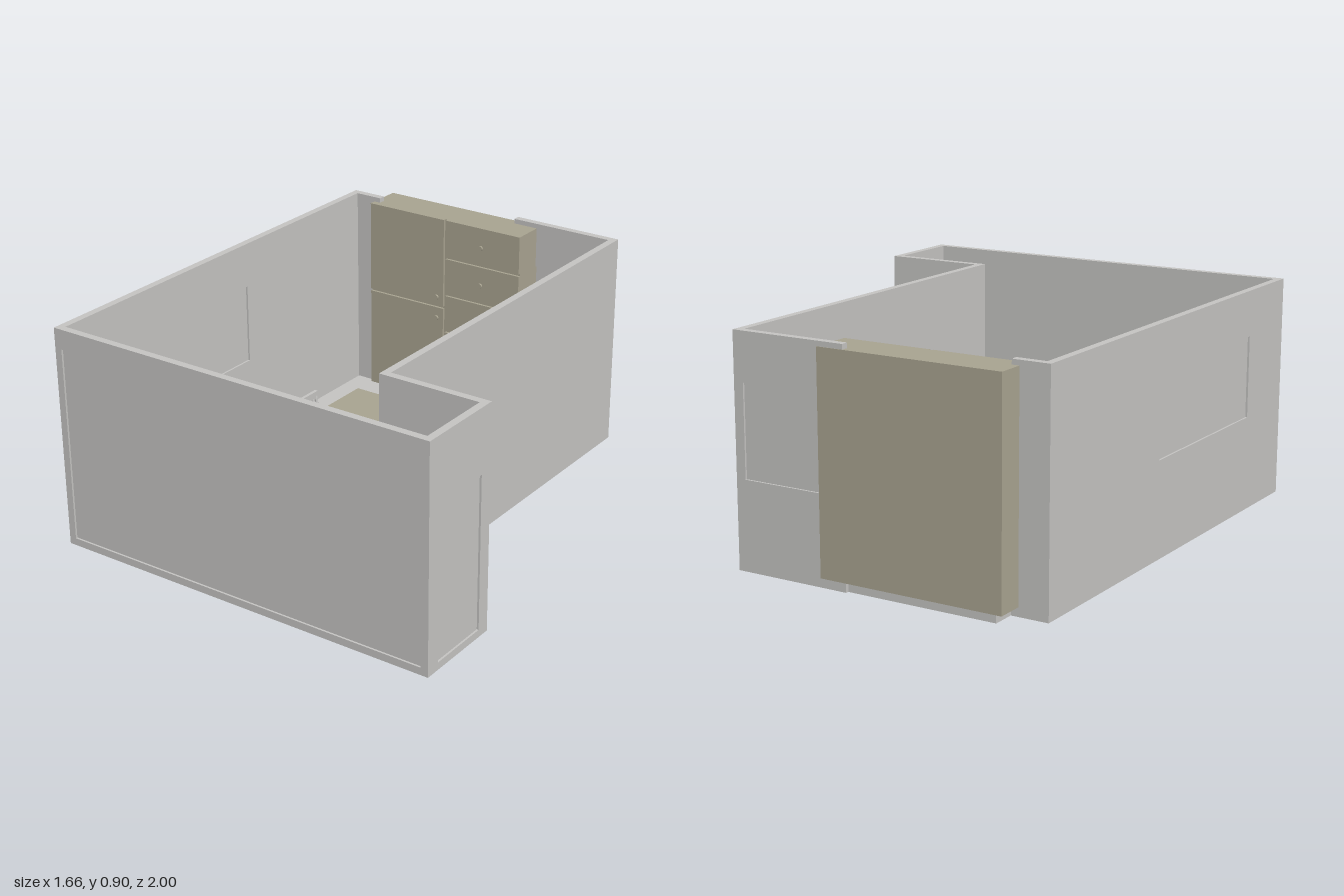
import * as THREE from 'three';

const wallGrey = new THREE.MeshStandardMaterial({ color: 0xc4c3c1 });
wallGrey.name = 'wall grey';
const woodBeige = new THREE.MeshStandardMaterial({ color: 0xa8a390 });
woodBeige.name = 'wood beige';

const T = 0.03; // wall and floor thickness
const H = 0.9;  // wall height

// Box given by its min and max corners
function box(parent, name, mat, [x0, y0, z0], [x1, y1, z1]) {
  const m = new THREE.Mesh(new THREE.BoxGeometry(x1 - x0, y1 - y0, z1 - z0), mat);
  m.position.set((x0 + x1) / 2, (y0 + y1) / 2, (z0 + z1) / 2);
  m.name = name;
  parent.add(m);
  return m;
}

// Straight rod between two points
function rod(parent, name, mat, a, b, r) {
  const p = new THREE.Vector3(...a), q = new THREE.Vector3(...b);
  const m = new THREE.Mesh(new THREE.CylinderGeometry(r, r, p.distanceTo(q), 10), mat);
  m.position.copy(p).lerp(q, 0.5);
  m.quaternion.setFromUnitVectors(new THREE.Vector3(0, 1, 0), q.sub(p).normalize());
  m.name = name;
  parent.add(m);
}

// Upright wall from u0 to u1, with an optional opening filled by a recessed pane
function wall(parent, name, u0, u1, opening) {
  const g = new THREE.Group();
  g.name = name;
  const s = new THREE.Shape();
  s.moveTo(u0, 0).lineTo(u1, 0).lineTo(u1, H).lineTo(u0, H).closePath();
  if (opening) {
    const [a, b, c, d] = opening;
    const hole = new THREE.Path();
    hole.moveTo(a, c).lineTo(a, d).lineTo(b, d).lineTo(b, c).closePath();
    s.holes.push(hole);
    box(g, name + 'Pane', wallGrey, [a, c, 0.008], [b, d, T - 0.008]);
  }
  const m = new THREE.Mesh(new THREE.ExtrudeGeometry(s, { depth: T, bevelEnabled: false }), wallGrey);
  m.name = name + 'Frame';
  g.add(m);
  parent.add(g);
  return g;
}

function wallAlongX(parent, name, zMin, x0, x1, opening) {
  wall(parent, name, x0, x1, opening).position.z = zMin;
}

function wallAlongZ(parent, name, xMax, z0, z1, opening) {
  const g = wall(parent, name, z0, z1, opening);
  g.rotation.y = -Math.PI / 2;
  g.position.x = xMax;
}

function makeRoom() {
  const room = new THREE.Group();
  room.name = 'room';
  // Floor slab following the wall outline
  const outline = [[-0.83, 1], [0.83, 1], [0.83, 0.625], [0.415, 0.625], [0.415, -0.998],
    [-0.065, -0.998], [-0.065, -0.985], [-0.68, -0.985], [-0.68, -0.89], [-0.83, -0.89]];
  const s = new THREE.Shape(outline.map(([x, z]) => new THREE.Vector2(x, -z)));
  const floor = new THREE.Mesh(new THREE.ExtrudeGeometry(s, { depth: T, bevelEnabled: false }), wallGrey);
  floor.rotation.x = -Math.PI / 2;
  floor.name = 'floor';
  room.add(floor);

  wallAlongX(room, 'frontWall', 1 - T, -0.83, 0.83, [-0.8, 0.8, 0.03, 0.82]);
  wallAlongZ(room, 'entryWall', 0.83, 0.625, 1 - T, [0.68, 0.94, 0.03, 0.645]);
  wallAlongX(room, 'entryReturnWall', 0.625, 0.385, 0.83 - T);
  wallAlongZ(room, 'rightWall', 0.415, -0.998 + T, 0.625);
  wallAlongX(room, 'backWall', -0.998, -0.065, 0.415, [0, 0.375, 0.35, 0.71]);
  wallAlongX(room, 'backStubWall', -0.89, -0.83, -0.68);
  wallAlongZ(room, 'leftWall', -0.83 + T, -0.86, 1 - T, [-0.085, 0.685, 0.385, 0.715]);
  return room;
}

// Tall cabinet: doors on one side, drawers on the other
function makeCabinet() {
  const g = new THREE.Group();
  g.name = 'cabinet';
  const zf = -0.832, zb = -0.843, gap = 0.005;
  box(g, 'cabinetBody', woodBeige, [-0.71, 0.035, -1], [0.045, 0.88, zb]);
  const front = (name, x0, x1, y0, y1, kx, ky) => {
    box(g, name, woodBeige, [x0, y0, zb], [x1, y1, zf]);
    rod(g, name + 'KnobStem', woodBeige, [kx, ky, zf], [kx, ky, zf + 0.008], 0.005);
    rod(g, name + 'Knob', woodBeige, [kx, ky, zf + 0.006], [kx, ky, zf + 0.014], 0.011);
  };
  const split = -0.325;
  front('lowerDoor', -0.71, split - gap, 0.035, 0.48 - gap, -0.36, 0.43);
  front('upperDoor', -0.71, split - gap, 0.48 + gap, 0.88, -0.36, 0.526);
  const n = 5, h = (0.88 - 0.035) / n;
  for (let i = 0; i < n; i++) {
    const y0 = 0.035 + i * h;
    front('drawer', split + gap, 0.045, y0 + (i ? gap : 0), y0 + h - (i < n - 1 ? gap : 0), -0.14, y0 + h / 2);
  }
  return g;
}

function makeTable() {
  const g = new THREE.Group();
  g.name = 'table';
  const [x0, x1, z0, z1] = [-0.375, 0.39, -0.265, 0.24];
  box(g, 'tableTop', woodBeige, [x0, 0.28, z0], [x1, 0.3, z1]);
  for (const x of [x0 + 0.02, x1 - 0.05])
    for (const z of [z0 + 0.02, z1 - 0.05])
      box(g, 'tableLeg', woodBeige, [x, T, z], [x + 0.03, 0.28, z + 0.03]);
  return g;
}

// Spindle-back chair facing +z; origin at the rear edge of its back
function makeChair(x, z, turn) {
  const g = new THREE.Group();
  g.name = 'chair';
  // Seat slightly wider at the front
  const s = new THREE.Shape();
  s.moveTo(-0.064, -0.03).lineTo(0.064, -0.03).lineTo(0.073, -0.147)
    .quadraticCurveTo(0.073, -0.157, 0.063, -0.157).lineTo(-0.063, -0.157)
    .quadraticCurveTo(-0.073, -0.157, -0.073, -0.147).closePath();
  const seat = new THREE.Mesh(new THREE.ExtrudeGeometry(s, { depth: 0.015, bevelEnabled: false }), wallGrey);
  seat.rotation.x = -Math.PI / 2;
  seat.position.y = 0.175;
  seat.name = 'seat';
  g.add(seat);
  for (const sx of [-1, 1]) {
    rod(g, 'frontLeg', wallGrey, [sx * 0.064, T, 0.148], [sx * 0.06, 0.178, 0.142], 0.006);
    rod(g, 'backLeg', wallGrey, [sx * 0.06, T, 0.028], [sx * 0.058, 0.178, 0.038], 0.006);
    rod(g, 'backPost', wallGrey, [sx * 0.058, 0.178, 0.036], [sx * 0.066, 0.33, 0.01], 0.006);
    rod(g, 'sideStretcher', wallGrey, [sx * 0.061, 0.09, 0.032], [sx * 0.062, 0.09, 0.146], 0.004);
  }
  for (let i = -2; i <= 2; i++)
    rod(g, 'spindle', wallGrey, [i * 0.02, 0.185, 0.036], [i * 0.022, 0.325, 0.011], 0.0035);
  box(g, 'topRail', wallGrey, [-0.073, 0.318, 0], [0.073, 0.35, 0.014]);
  g.position.set(x, 0, z);
  g.rotation.y = turn;
  return g;
}

export function createModel() {
  const model = new THREE.Group();
  model.name = 'diningRoom';
  model.add(makeRoom(), makeCabinet(), makeTable());
  // Chairs around the table and one in the corner
  for (const x of [-0.25, 0.005, 0.26]) model.add(makeChair(x, 0.31, Math.PI));
  model.add(makeChair(0.005, -0.335, 0));
  model.add(makeChair(-0.445, 0.01, Math.PI / 2));
  model.add(makeChair(-0.705, 0.745, 0));
  return model;
}
